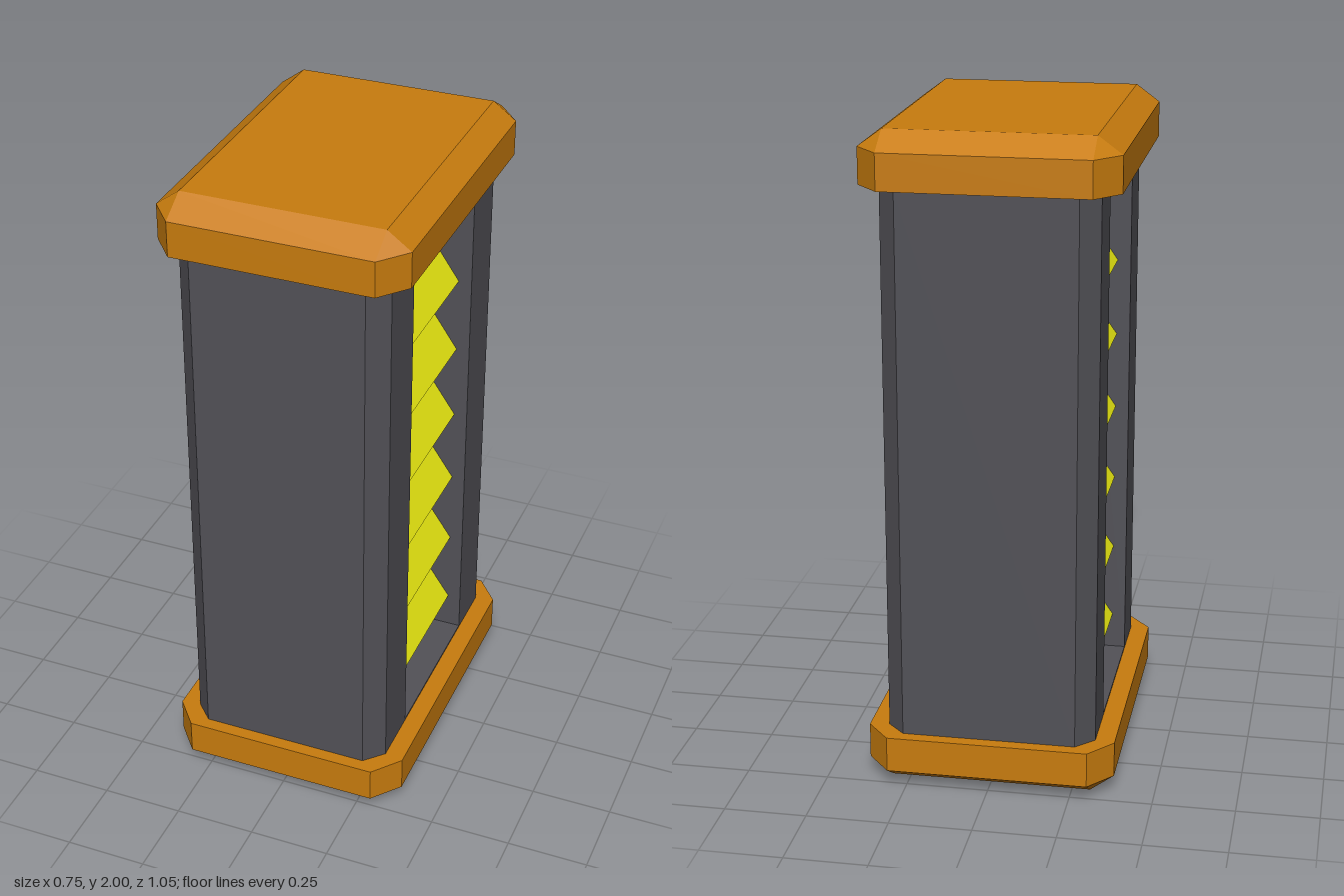
import * as THREE from 'three';
import { ConvexGeometry } from 'three/addons/geometries/ConvexGeometry.js';

const material = (name, color) => {
  const m = new THREE.MeshStandardMaterial({ color });
  m.name = name;
  return m;
};

const shapeOf = (points) => new THREE.Shape(points.map(([x, y]) => new THREE.Vector2(x, y)));

// Mirrors a quarter outline into all four quadrants, counter-clockwise
const mirrorQuarter = (q) => {
  const r = [...q].reverse();
  return [
    ...q,
    ...r.map(([x, y]) => [-x, y]),
    ...q.map(([x, y]) => [-x, -y]),
    ...r.map(([x, y]) => [x, -y]),
  ];
};

export function createModel() {
  const group = new THREE.Group();
  const orange = material('orange', 0xc87c0e);
  const grey = material('dark grey', 0x525157);
  const yellow = material('yellow', 0xe4e410);

  const add = (name, geometry, mat, y = 0) => {
    const mesh = new THREE.Mesh(geometry, mat);
    mesh.name = name;
    mesh.position.y = y;
    group.add(mesh);
    return mesh;
  };

  const low = 0.162, high = 1.838;

  // Chamfered end caps: octagonal slab tapering to a rectangle
  const capPoints = (outerY, rimY, innerY) => {
    const points = [];
    for (const sx of [-1, 1]) for (const sz of [-1, 1]) {
      points.push(new THREE.Vector3(sx * 0.305, outerY, sz * 0.44));
      for (const y of [rimY, innerY]) {
        points.push(new THREE.Vector3(sx * 0.305, y, sz * 0.527));
        points.push(new THREE.Vector3(sx * 0.377, y, sz * 0.44));
      }
    }
    return points;
  };
  add('bottomCap', new ConvexGeometry(capPoints(0, 0.053, low)), orange);
  add('topCap', new ConvexGeometry(capPoints(2, 1.947, high)), orange);

  // Casing with chamfered corners and a full-height recess on each side
  const outline = mirrorQuarter([
    [0.15, 0.256], [0.318, 0.256], [0.318, 0.43], [0.263, 0.487],
  ]);
  const casing = new THREE.ExtrudeGeometry(shapeOf(outline), { depth: high - low, bevelEnabled: false });
  casing.rotateX(-Math.PI / 2);
  add('casing', casing, grey, low);

  // Recess floor and ceiling
  const plate = new THREE.BoxGeometry(0.636, 0.006, 0.512);
  add('recessFloor', plate, grey, low + 0.002);
  add('recessCeiling', plate, grey, high - 0.002);

  // Zigzag ridges filling both recesses
  const teeth = 7, step = (high - low) / (teeth * 2);
  const ridge = [];
  for (let i = 0; i <= teeth * 2; i++) ridge.push([i % 2 ? 0.277 : 0.195, low + i * step]);
  const zigzag = [...ridge, ...[...ridge].reverse().map(([x, y]) => [-x, y])];
  const core = new THREE.ExtrudeGeometry(shapeOf(zigzag), { depth: 0.512, bevelEnabled: false });
  core.translate(0, 0, -0.256);
  add('zigzagCore', core, yellow);

  return group;
}
